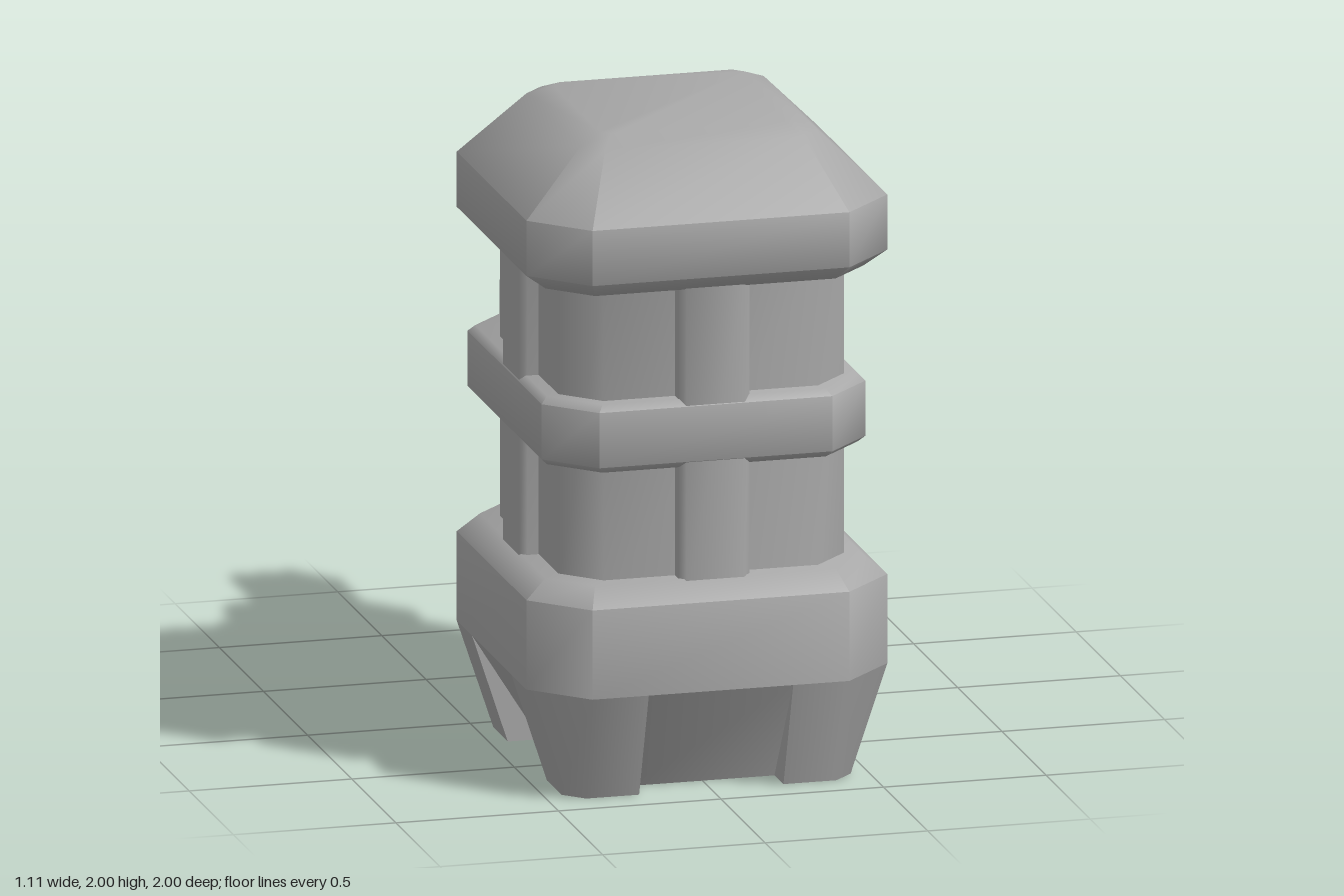
import * as THREE from 'three';
import { toCreasedNormals } from 'three/addons/utils/BufferGeometryUtils.js';
import { ConvexGeometry } from 'three/addons/geometries/ConvexGeometry.js';

const CREASE = 0.95;
const BODY_Z = 0.445;

// Loft of chamfered rectangles stacked along y; each section is [y, halfX, halfZ, chamfer]
function loft(sections) {
  const rings = sections.map(([y, a, b, c]) => [
    [a, -b + c], [a, b - c], [a - c, b], [-a + c, b],
    [-a, b - c], [-a, -b + c], [-a + c, -b], [a - c, -b],
  ].map(([x, z]) => [x, y, z]));
  const pos = [];
  const tri = (...p) => p.forEach((v) => pos.push(...v));
  for (let s = 0; s < rings.length - 1; s++) {
    for (let i = 0; i < 8; i++) {
      const j = (i + 1) % 8, lo = rings[s], hi = rings[s + 1];
      tri(lo[i], hi[i], lo[j]);
      tri(lo[j], hi[i], hi[j]);
    }
  }
  const first = rings[0], last = rings[rings.length - 1];
  for (let i = 1; i < 7; i++) {
    tri(first[0], first[i], first[i + 1]);
    tri(last[0], last[i + 1], last[i]);
  }
  const geo = new THREE.BufferGeometry();
  geo.setAttribute('position', new THREE.Float32BufferAttribute(pos, 3));
  return toCreasedNormals(geo, CREASE);
}

export function createModel() {
  const model = new THREE.Group();
  model.name = 'bodyWithNozzle';
  const grey = new THREE.MeshStandardMaterial({ color: 0xa8a8a8 });
  grey.name = 'grey';

  const add = (name, geo, z = BODY_Z, y = 0) => {
    const mesh = new THREE.Mesh(geo, grey);
    mesh.name = name;
    mesh.position.set(0, y, z);
    model.add(mesh);
    return mesh;
  };

  // Base collar
  add('baseCollar', loft([
    [0.335, 0.555, 0.555, 0.16],
    [0.61, 0.555, 0.555, 0.16],
    [0.667, 0.49, 0.49, 0.12],
  ]));

  // Sloping recesses between the feet
  add('baseRecesses', loft([
    [0, 0.345, 0.345, 0.125],
    [0.335, 0.555, 0.555, 0.335],
  ]));

  // Four tapered corner feet
  for (const sx of [-1, 1]) {
    for (const sz of [-1, 1]) {
      const pts = [];
      for (const [y, half, c] of [[0, 0.445, 0.06], [0.335, 0.555, 0.16]]) {
        for (const [x, z] of [[0.222, 0.222], [0.222, half], [half - c, half], [half, half - c], [half, 0.222]]) {
          pts.push(new THREE.Vector3(x * sx, y, z * sz));
        }
      }
      add('foot', toCreasedNormals(new ConvexGeometry(pts), CREASE));
    }
  }

  // Inner body
  add('body', loft([[0.6, 0.44, 0.44, 0.11], [1.6, 0.44, 0.44, 0.11]]));

  // Raised uprights on all four sides
  add('sideUprights', loft([[0.6, 0.495, 0.11, 0.02], [1.6, 0.495, 0.11, 0.02]]));
  add('frontBackUprights', loft([[0.6, 0.11, 0.495, 0.02], [1.6, 0.11, 0.495, 0.02]]));

  // Belt, reaching further back around the nozzle
  add('belt', loft([
    [1.01, 0.478, 0.54, 0.135],
    [1.03, 0.498, 0.56, 0.14],
    [1.20, 0.498, 0.56, 0.14],
    [1.22, 0.478, 0.54, 0.135],
  ]), 0.382);

  // Bevelled cap
  add('cap', loft([
    [1.56, 0.49, 0.49, 0.12],
    [1.61, 0.555, 0.555, 0.16],
    [1.78, 0.555, 0.555, 0.16],
    [1.97, 0.365, 0.365, 0.06],
    [2.0, 0.295, 0.295, 0.03],
  ]));

  // Stepped nozzle pointing backwards
  const nozzle = (name, sections) => add(name, loft(sections).rotateX(-Math.PI / 2), 0, 1.113);
  nozzle('nozzleFlare', [
    [-0.02, 0.33, 0.425, 0.18],
    [0.055, 0.32, 0.425, 0.18],
    [0.28, 0.305, 0.307, 0.17],
    [0.38, 0.307, 0.307, 0.17],
    [0.432, 0.265, 0.265, 0.15],
  ]);
  nozzle('nozzleCollar', [
    [0.4, 0.205, 0.205, 0.08],
    [0.62, 0.205, 0.205, 0.08],
    [0.665, 0.16, 0.16, 0.05],
  ]);
  nozzle('nozzleRod', [
    [0.64, 0.108, 0.108, 0.018],
    [0.985, 0.108, 0.108, 0.018],
    [1.0, 0.093, 0.093, 0.012],
  ]);

  return model;
}
